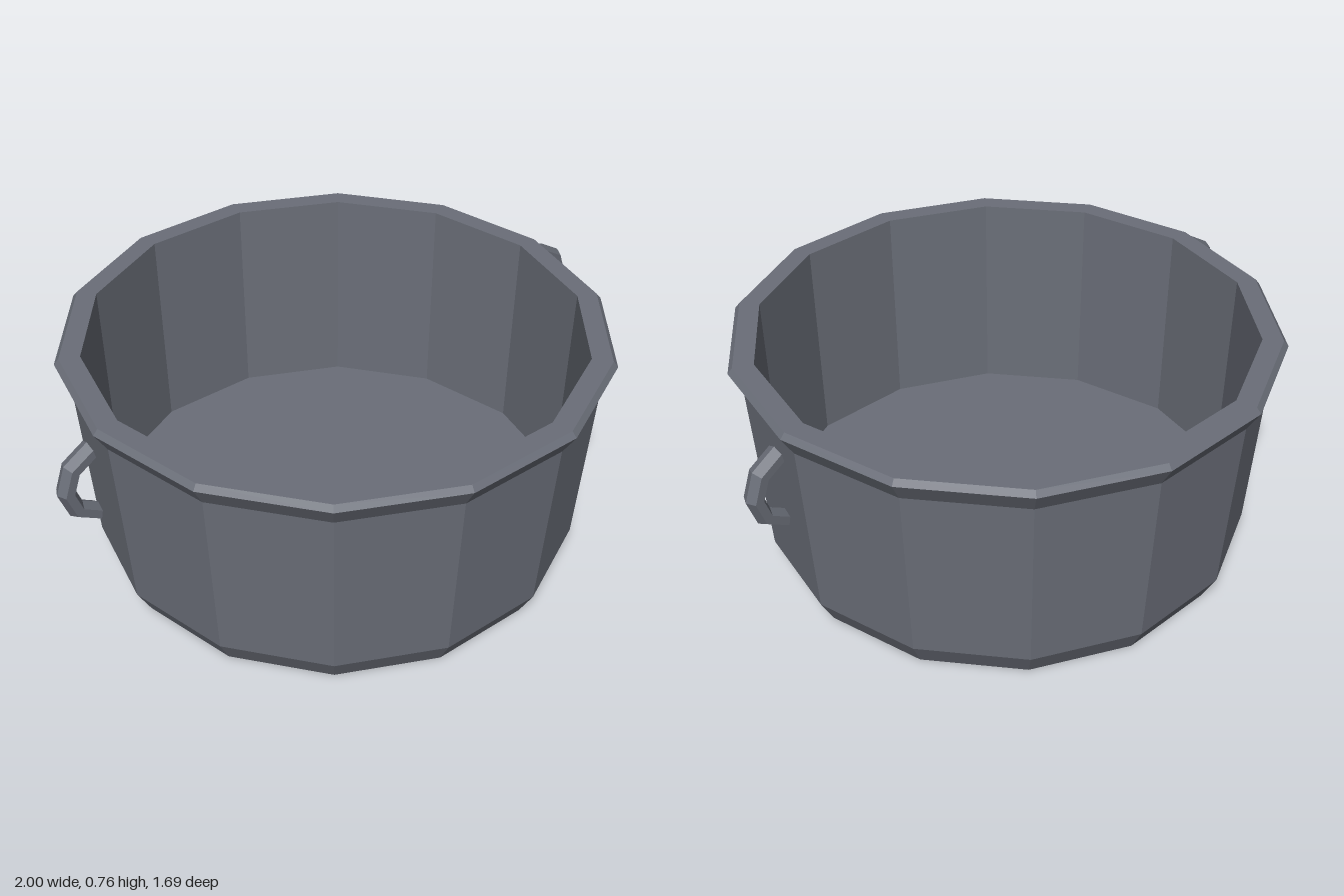
import * as THREE from 'three';
import { mergeGeometries } from 'three/addons/utils/BufferGeometryUtils.js';

const SIDES = 14;

// Half-ring with a hexagonal section and closed ends, bulging towards +x
function handleGeometry(radius, tube, halfArc) {
  const ring = new THREE.TorusGeometry(radius, tube, 6, 4, halfArc * 2).rotateZ(-halfArc);
  const caps = [1, -1].map((s) =>
    new THREE.CircleGeometry(tube, 6)
      .rotateX(-s * Math.PI / 2)
      .translate(radius, 0, 0)
      .rotateZ(s * halfArc));
  return mergeGeometries([ring, ...caps]).scale(1, 1, 1.2);
}

export function createModel() {
  const model = new THREE.Group();
  model.name = 'cookingPot';
  const metal = new THREE.MeshStandardMaterial({ color: 0x6a6e78, flatShading: true });

  // Pot: base, bevelled foot, tapering wall, flared rim, inner wall and floor
  const profile = [
    [0, 0], [0.74, 0], [0.785, 0.085], [0.825, 0.68], [0.865, 0.747],
    [0.85, 0.765], [0.785, 0.765], [0.772, 0.068], [0, 0.068],
  ].map(([r, y]) => new THREE.Vector2(r, y));
  const pot = new THREE.Mesh(new THREE.LatheGeometry(profile, SIDES, Math.PI / 2), metal);
  pot.name = 'potBody';
  model.add(pot);

  // Side handles
  const geometry = handleGeometry(0.114, 0.028, THREE.MathUtils.degToRad(78));
  for (const side of [1, -1]) {
    const handle = new THREE.Mesh(geometry, metal);
    handle.name = side > 0 ? 'leftHandle' : 'rightHandle';
    handle.position.set(side * 0.858, 0.597, 0);
    if (side < 0) handle.rotation.y = Math.PI;
    model.add(handle);
  }
  return model;
}
